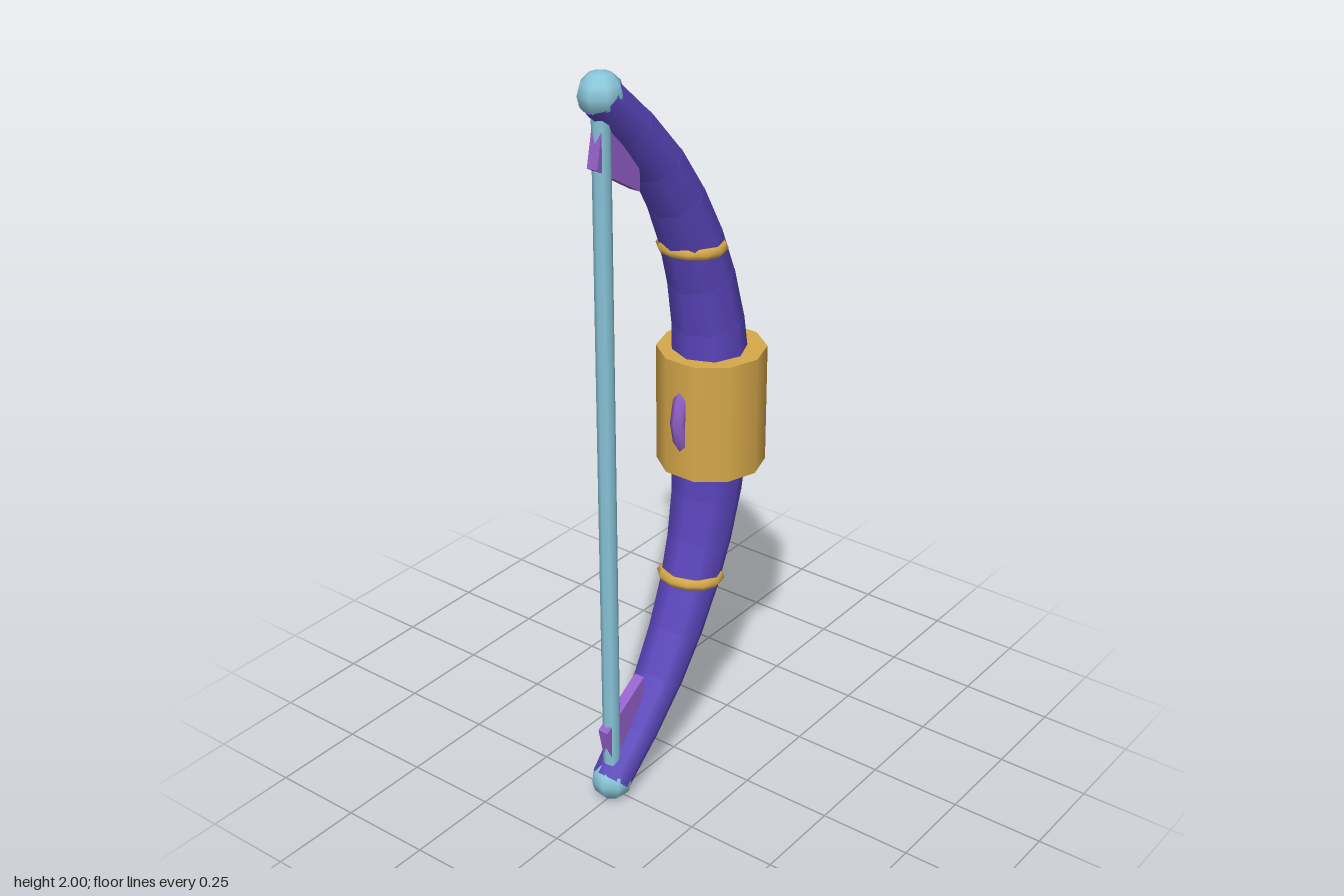
import * as THREE from 'three';

const mat = (name, color) => {
  const m = new THREE.MeshStandardMaterial({ color });
  m.name = name;
  return m;
};

export function createModel() {
  const indigo = mat('indigo limb', 0x5a45bc);
  const gold = mat('gold', 0xd6a84a);
  const ice = mat('pale blue', 0x88c4d8);
  const violet = mat('violet', 0x9260c8);

  const bow = new THREE.Group();
  bow.name = 'bow';
  const add = (parent, name, geo, material, x = 0, y = 0, z = 0) => {
    const m = new THREE.Mesh(geo, material);
    m.name = name;
    m.position.set(x, y, z);
    parent.add(m);
    return m;
  };

  // Centre line of one limb: x and height away from the grip
  const line = [
    [0.16, 0], [0.155, 0.12], [0.143, 0.24], [0.113, 0.37], [0.07, 0.49],
    [0.01, 0.61], [-0.065, 0.725], [-0.165, 0.84], [-0.27, 0.94],
  ];
  const radiusAt = (h) => 0.107 - 0.056 * h;

  for (const side of [1, -1]) {
    const limb = new THREE.Group();
    limb.name = side > 0 ? 'upperLimb' : 'lowerLimb';
    bow.add(limb);

    // Overlapping tapered segments
    for (let i = 0; i < line.length - 1; i++) {
      const [x0, h0] = line[i], [x1, h1] = line[i + 1];
      const dx = x1 - x0, dy = (h1 - h0) * side;
      const inner = radiusAt(h0), outer = radiusAt(h1);
      const geo = new THREE.CylinderGeometry(
        side > 0 ? outer : inner, side > 0 ? inner : outer,
        Math.hypot(dx, dy) * 1.1, 8);
      const seg = add(limb, 'limbSegment', geo, indigo, (x0 + x1) / 2, 1 + side * (h0 + h1) / 2);
      seg.rotation.z = side > 0 ? Math.atan2(-dx, dy) : Math.atan2(dx, -dy);
    }

    // Gold band around the limb
    const band = new THREE.TorusGeometry(0.075, 0.016, 6, 12).rotateX(Math.PI / 2);
    const ring = add(limb, 'limbBand', band, gold, 0.074, 1 + side * 0.472);
    ring.rotation.z = side > 0 ? -0.07 : -0.14;

    // Tip ball
    add(limb, 'tipBall', new THREE.SphereGeometry(0.056, 8, 6), ice, -0.27, 1 + side * 0.943)
      .rotation.y = 0.2;

    // Flat fin inside the tip
    const corners = [[-0.305, 0.775], [-0.15, 0.68], [-0.15, 0.81], [-0.285, 0.87]];
    const shape = new THREE.Shape(corners.map(([x, h]) => new THREE.Vector2(x, 1 + side * h)));
    const fin = new THREE.ExtrudeGeometry(shape, { depth: 0.03, bevelEnabled: false });
    add(limb, 'tipFin', fin, violet, 0, 0, -0.015);
  }

  // String, grip and the ring set through the grip
  add(bow, 'bowString', new THREE.CylinderGeometry(0.023, 0.023, 1.88, 8), ice, -0.27, 1);
  add(bow, 'grip', new THREE.CylinderGeometry(0.143, 0.143, 0.325, 10), gold, 0.16, 1.005);
  add(bow, 'gripRing', new THREE.TorusGeometry(0.142, 0.021, 6, 16), violet, 0.16, 1);

  return bow;
}
